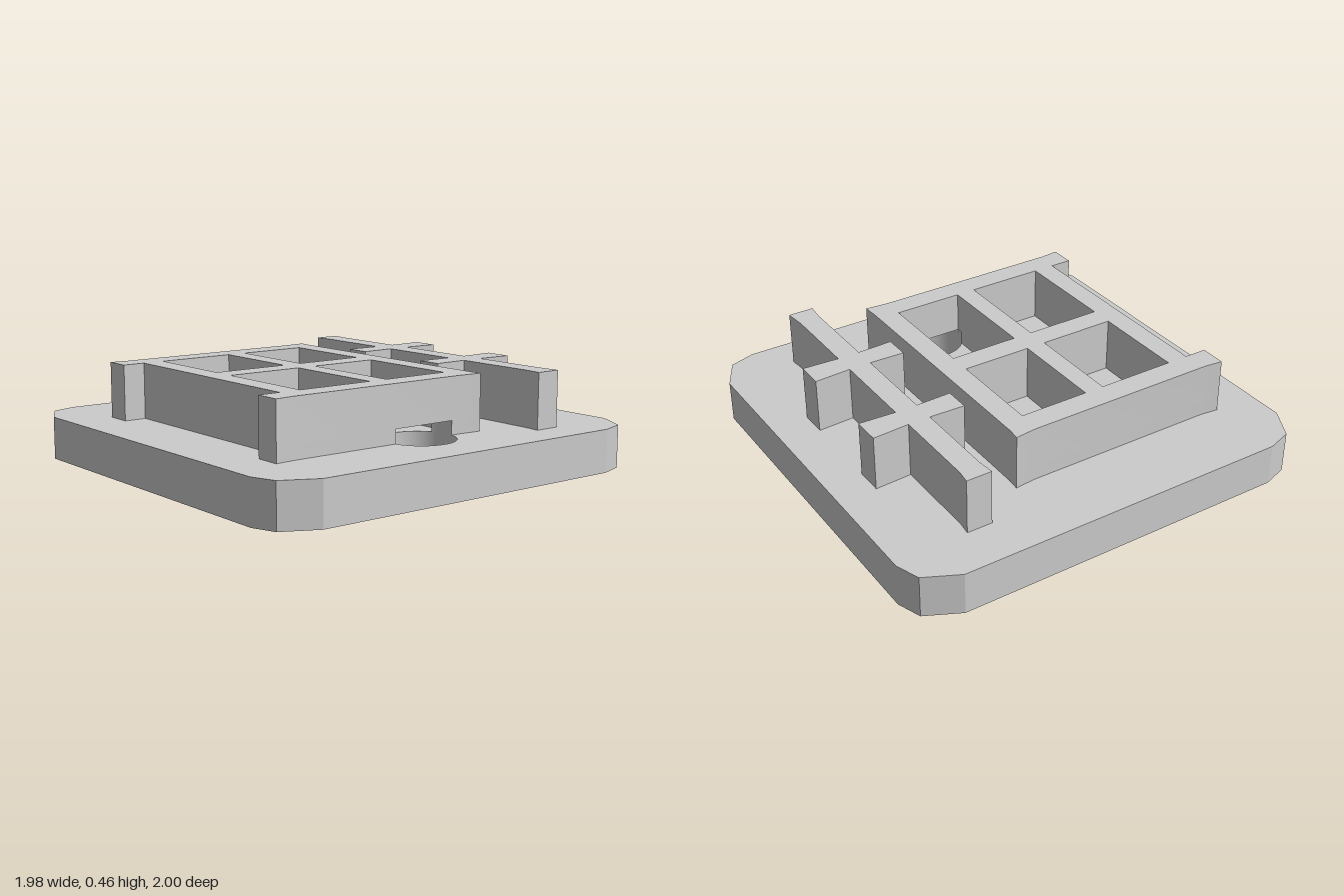
import * as THREE from 'three';
import { toCreasedNormals } from 'three/addons/utils/BufferGeometryUtils.js';

const HOLE = { x: 0.632, z: 0, r: 0.163 };
const PLATE_TOP = 0.198, HOLE_TOP = 0.262, RELIEF_TOP = 0.457;

// Points along the rim of the round hole, in plan (x, z)
function rim(from, to, steps) {
  return Array.from({ length: steps + 1 }, (_, i) => {
    const a = from + (to - from) * i / steps;
    return [HOLE.x + HOLE.r * Math.cos(a), HOLE.z + HOLE.r * Math.sin(a)];
  });
}

const rect = (x0, x1, z0, z1) => [[x0, z0], [x1, z0], [x1, z1], [x0, z1]];
const toVectors = (pts) => pts.map(([x, z]) => new THREE.Vector2(x, -z));

// Raise a plan outline, with openings wound the opposite way, from height y0 to y1
function slab(name, material, outline, openings, y0, y1) {
  const shape = new THREE.Shape(toVectors(outline));
  shape.holes = openings.map((pts) => new THREE.Path(toVectors(pts).reverse()));
  const geo = new THREE.ExtrudeGeometry(shape, { depth: y1 - y0, bevelEnabled: false });
  geo.rotateX(-Math.PI / 2);
  geo.translate(0, y0, 0);
  const mesh = new THREE.Mesh(toCreasedNormals(geo, 0.3), material);
  mesh.name = name;
  return mesh;
}

export function createModel() {
  const model = new THREE.Group();
  model.name = 'reliefPlate';
  const grey = new THREE.MeshStandardMaterial({ color: 0xcccccc });
  grey.name = 'grey';

  // Base plate: each corner has two uneven facets
  const plate = [
    [-0.99, -0.8], [-0.91, -0.96], [-0.8, -1],
    [0.8, -1], [0.95, -0.92], [0.99, -0.8],
    [0.99, 0.8], [0.91, 0.96], [0.8, 1],
    [-0.8, 1], [-0.95, 0.92], [-0.99, 0.8],
  ];
  const fullRim = rim(0, Math.PI * 2, 48).slice(0, -1);
  model.add(slab('basePlate', grey, plate, [fullRim], 0, PLATE_TOP));

  // Four-pocket frame with flared corners and two short feet
  const backEdge = [[-0.63, -0.32], [-0.57, -0.315], [0.6, -0.315], [0.673, -0.32], [0.664, -0.2]];
  const frontEdge = [
    [0.664, 0.7], [0.673, 0.787], [0.553, 0.787], [0.553, 0.682],
    [-0.507, 0.682], [-0.507, 0.787], [-0.63, 0.787], [-0.62, 0.7], [-0.62, -0.22],
  ];
  const pockets = [
    rect(-0.507, -0.057, -0.21, 0.12),
    rect(-0.507, -0.057, 0.213, 0.58),
    rect(0.053, 0.553, 0.213, 0.58),
  ];

  // The round hole bites through the lower part of the frame's wall into one pocket
  const outerAngle = Math.acos((0.664 - HOLE.x) / HOLE.r);
  const innerAngle = Math.acos((0.553 - HOLE.x) / HOLE.r);
  const pocketAngle = Math.PI - Math.asin(0.12 / HOLE.r);
  const bitten = [
    ...backEdge,
    ...rim(-outerAngle, -innerAngle, 8),
    [0.553, -0.21], [0.053, -0.21], [0.053, 0.12],
    ...rim(pocketAngle, outerAngle, 8),
    ...frontEdge,
  ];
  model.add(slab('frameLower', grey, bitten, pockets, PLATE_TOP, HOLE_TOP));
  model.add(slab('frameUpper', grey, [...backEdge, ...frontEdge],
    [...pockets, rect(0.053, 0.553, -0.21, 0.12)], HOLE_TOP, RELIEF_TOP));

  // Long bar crossed by two short bars, all with flared ends
  const crossedBars = [
    [-0.775, -0.655], [-0.71, -0.647],
    [-0.302, -0.647], [-0.312, -0.82], [-0.182, -0.82], [-0.192, -0.647],
    [0.223, -0.647], [0.213, -0.82], [0.343, -0.82], [0.333, -0.647],
    [0.71, -0.647], [0.817, -0.657], [0.817, -0.535], [0.73, -0.543],
    [0.333, -0.543], [0.338, -0.375], [0.217, -0.375], [0.223, -0.543],
    [-0.192, -0.543], [-0.187, -0.375], [-0.308, -0.375], [-0.302, -0.543],
    [-0.69, -0.543], [-0.775, -0.535],
  ];
  model.add(slab('crossedBars', grey, crossedBars, [], PLATE_TOP, RELIEF_TOP));

  return model;
}
